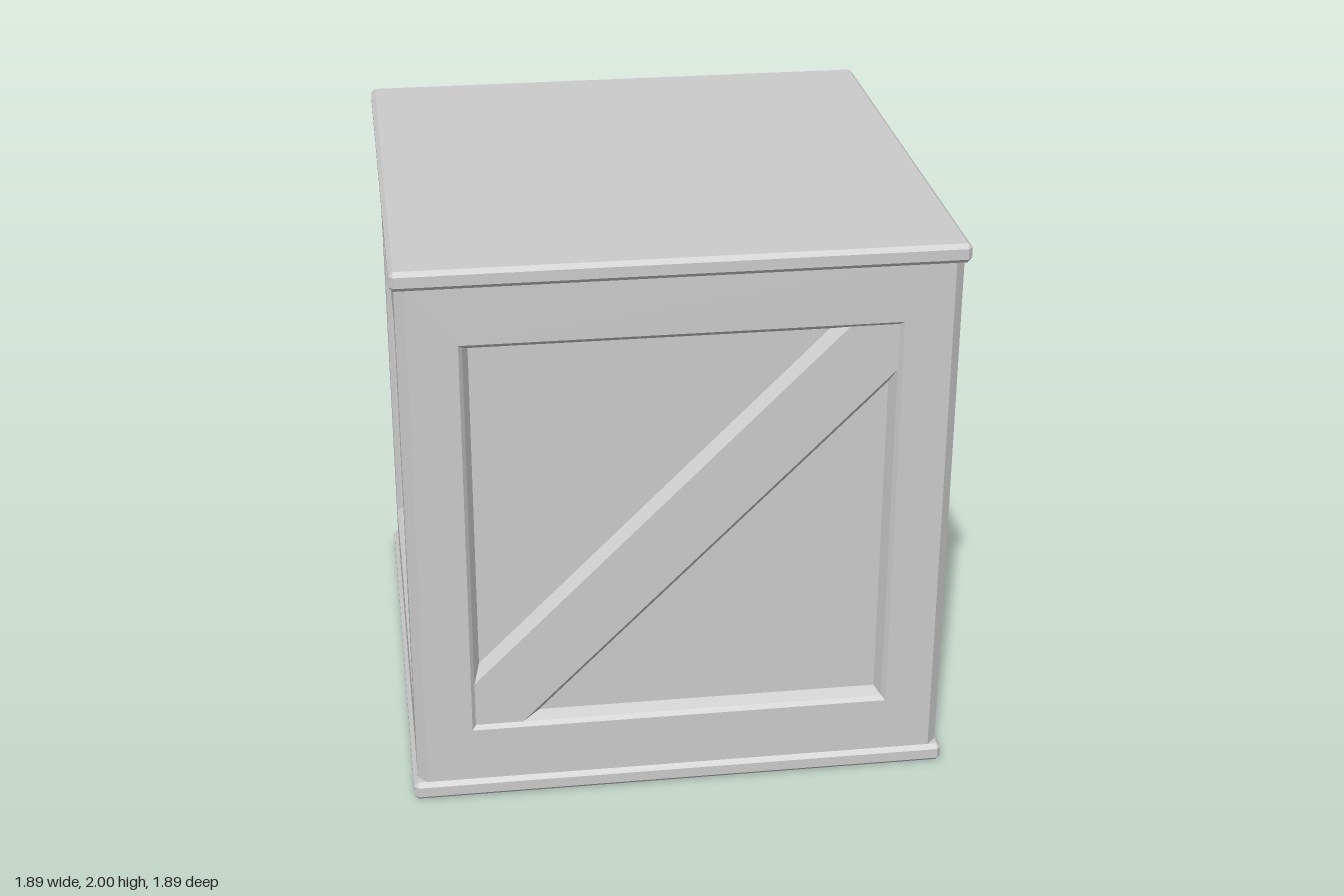
import * as THREE from 'three';
import { ConvexGeometry } from 'three/addons/geometries/ConvexGeometry.js';

const material = new THREE.MeshStandardMaterial({ color: 0xcccccc, flatShading: true });

// Joins successive loops (counter-clockwise seen from +z) and caps the last one
function loft(loops) {
  const pos = [];
  const tri = (a, b, c) => pos.push(...a, ...b, ...c);
  const n = loops[0].length;
  for (let k = 0; k < loops.length - 1; k++) {
    for (let i = 0; i < n; i++) {
      const j = (i + 1) % n, a = loops[k], b = loops[k + 1];
      tri(a[i], a[j], b[j]);
      tri(a[i], b[j], b[i]);
    }
  }
  const cap = loops[loops.length - 1];
  for (let i = 1; i < n - 1; i++) tri(cap[0], cap[i], cap[i + 1]);
  const geometry = new THREE.BufferGeometry();
  geometry.setAttribute('position', new THREE.Float32BufferAttribute(pos, 3));
  geometry.computeVertexNormals();
  return geometry;
}

const rect = (hx, hy, z) => [[-hx, -hy, z], [hx, -hy, z], [hx, hy, z], [-hx, hy, z]];

// Diagonal band |y - x| <= o cut to a square of half size b
function band(b, o, z, flip) {
  const pts = [[-b, -b], [o - b, -b], [b, b - o], [b, b], [b - o, b], [-b, o - b]];
  const loop = pts.map(([x, y]) => [flip ? -x : x, y, z]);
  return flip ? loop.reverse() : loop;
}

// Box with every edge chamfered by c
function chamferedBox(hx, hy, hz, c) {
  const pts = [];
  for (const x of [-1, 1]) for (const y of [-1, 1]) for (const z of [-1, 1]) {
    pts.push(
      new THREE.Vector3(x * hx, y * (hy - c), z * (hz - c)),
      new THREE.Vector3(x * (hx - c), y * hy, z * (hz - c)),
      new THREE.Vector3(x * (hx - c), y * (hy - c), z * hz));
  }
  return new ConvexGeometry(pts);
}

function add(parent, name, geometry, y = 0) {
  const mesh = new THREE.Mesh(geometry, material);
  mesh.name = name;
  mesh.position.y = y;
  parent.add(mesh);
}

export function createModel() {
  const crate = new THREE.Group();
  crate.name = 'crate';

  // Lid and base slabs
  const slab = chamferedBox(0.945, 0.0335, 0.945, 0.015);
  add(crate, 'lid', slab, 1.9665);
  add(crate, 'base', slab, 0.0335);

  // Four framed walls: half corner chamfer, frame face, stepped recess, panel
  const wall = loft([
    rect(0.9135, 0.95, 0.9135),
    rect(0.897, 0.95, 0.93),
    rect(0.733, 0.733, 0.93),
    rect(0.72, 0.72, 0.915),
    rect(0.70, 0.70, 0.875),
  ]);
  ['front', 'left', 'back', 'right'].forEach((name, i) => {
    const side = new THREE.Group();
    side.name = name + 'Side';
    side.position.y = 1;
    side.rotation.y = i * Math.PI / 2;
    add(side, 'framedPanel', wall);
    // Diagonal brace with bevelled edges on front and back only
    if (i % 2 === 0) {
      const flip = i === 2;
      add(side, 'diagonalBrace', loft([band(0.70, 0.205, 0.875, flip), band(0.72, 0.165, 0.915, flip)]));
    }
    crate.add(side);
  });

  return crate;
}
